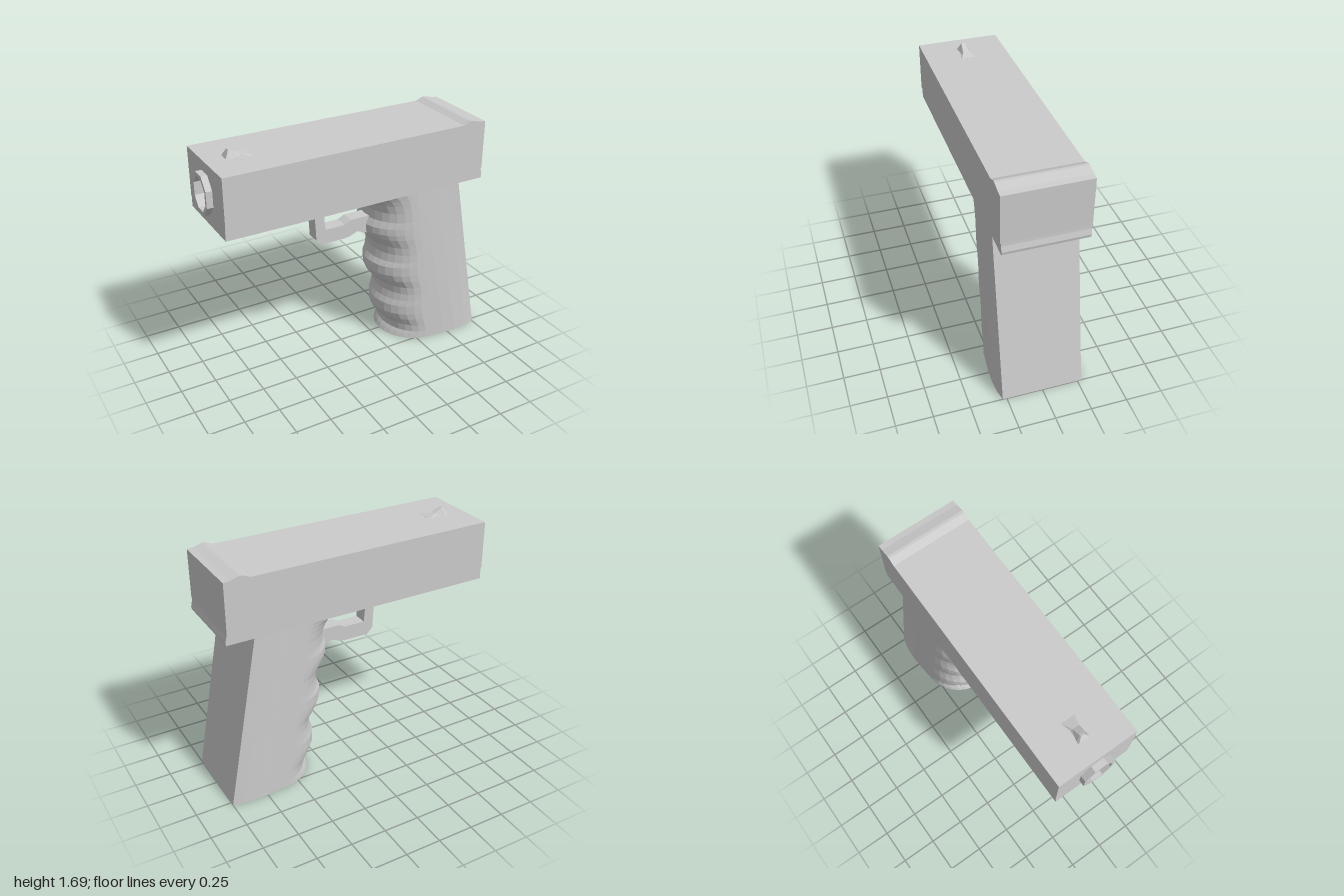
import * as THREE from 'three';

const material = new THREE.MeshStandardMaterial({ color: 0xcccccc, flatShading: true, side: THREE.DoubleSide });
const smooth = new THREE.MeshStandardMaterial({ color: 0xcccccc });

function add(group, name, geometry, mat = material) {
  const mesh = new THREE.Mesh(geometry, mat);
  mesh.name = name;
  group.add(mesh);
}

const shapeOf = (pts) => new THREE.Shape(pts.map(([x, y]) => new THREE.Vector2(x, y)));

// Side profile (x, y) given a width across z
function slab(pts, width) {
  return new THREE.ExtrudeGeometry(shapeOf(pts), { depth: width, bevelEnabled: false }).translate(0, 0, -width / 2);
}

// Cross-section (z, y) with a hole, running along x
function alongX(pts, hole, x0, x1) {
  const shape = shapeOf(pts);
  shape.holes.push(new THREE.Path(hole.map(([x, y]) => new THREE.Vector2(x, y))));
  return new THREE.ExtrudeGeometry(shape, { depth: x1 - x0, bevelEnabled: false })
    .rotateY(Math.PI / 2).translate(x0, 0, 0);
}

// Skin over closed rows of [x, y, z] points, capped at both ends
function loft(rows) {
  const n = rows[0].length, pos = rows.flat(2), idx = [];
  for (let i = 0; i < rows.length - 1; i++) {
    for (let j = 0; j < n; j++) {
      const k = (j + 1) % n, a = i * n + j, b = i * n + k;
      idx.push(a, a + n, b, b, a + n, b + n);
    }
  }
  [0, rows.length - 1].forEach((r, end) => {
    const c = pos.length / 3;
    for (let a = 0; a < 3; a++) pos.push(rows[r].reduce((s, p) => s + p[a], 0) / n);
    for (let j = 0; j < n; j++) {
      const a = r * n + j, b = r * n + (j + 1) % n;
      idx.push(c, end ? b : a, end ? a : b);
    }
  });
  const g = new THREE.BufferGeometry();
  g.setAttribute('position', new THREE.Float32BufferAttribute(pos, 3));
  g.setIndex(idx);
  const flat = g.toNonIndexed();
  flat.computeVertexNormals();
  return flat;
}

function octagon(rz, ry) {
  return Array.from({ length: 8 }, (_, i) => {
    const a = (i + 0.5) * Math.PI / 4;
    return [Math.cos(a) * rz, 1.433 + Math.sin(a) * ry];
  });
}

// Grip section: flat back, gently bulged sides, elliptical nose
function gripRow([y, front]) {
  const t = y / 1.22;
  const back = 1 - 0.225 * t, start = 0.62 - 0.19 * t, bulge = 0.022 * (1 - t);
  const half = [[back, 0.278], [back - 0.08, 0.278 + bulge * 0.8], [back - 0.18, 0.279 + bulge],
    [back - 0.28, 0.279 + bulge * 0.8]];
  const w = 0.279 + bulge * 0.3, steps = 8;
  for (let i = 0; i < steps; i++) {
    const a = i / steps * Math.PI / 2;
    half.push([start - (start - front) * Math.sin(a), w * Math.cos(a)]);
  }
  return [...half.map(([x, z]) => [x, y, z]), [front, y, 0],
    ...half.reverse().map(([x, z]) => [x, y, -z])];
}

export function createModel() {
  const model = new THREE.Group();
  const split = -0.3, frontX = -0.957;

  // Front of the upper body, with the bore
  const bore = octagon(0.098, 0.117);
  add(model, 'upperBodyFront', alongX([
    [-0.281, 1.22], [0.281, 1.22], [0.281, 1.3], [0.287, 1.3],
    [0.287, 1.64], [-0.287, 1.64], [-0.287, 1.3], [-0.281, 1.3],
  ], bore, frontX, split));

  // Rear of the upper body, with the raised rear sight
  add(model, 'upperBodyRear', slab([
    [split, 1.3], [0.957, 1.3], [0.957, 1.64], [0.915, 1.645], [0.85, 1.662],
    [0.83, 1.662], [0.78, 1.64], [split, 1.64],
  ], 0.574));

  // Lower rail with a small lip at the back
  add(model, 'lowerRail', slab([
    [split, 1.22], [0.963, 1.22], [0.967, 1.24], [0.958, 1.28], [0.957, 1.3], [split, 1.3],
  ], 0.562));

  // Barrel end
  add(model, 'muzzle', alongX(octagon(0.122, 0.146), bore, -1, frontX));

  // Front sight
  add(model, 'frontSight', loft([
    [-0.825, 1.642, 0.045, 0.035], [-0.8, 1.69, 0.045, 0.014], [-0.785, 1.685, 0.04, 0.016],
    [-0.73, 1.658, 0.035, 0.02], [-0.66, 1.641, 0.06, 0.05],
  ].map(([x, h, w, top]) => [[x, 1.635, w], [x, h, top], [x, h, -top], [x, 1.635, -w]])));

  // Grip with finger grooves: [height, front edge]
  add(model, 'grip', loft([
    [0, 0.33], [0.03, 0.345], [0.055, 0.362], [0.11, 0.355], [0.17, 0.305], [0.22, 0.28],
    [0.29, 0.28], [0.335, 0.3], [0.39, 0.312], [0.45, 0.3], [0.51, 0.245], [0.56, 0.22],
    [0.63, 0.218], [0.67, 0.24], [0.73, 0.25], [0.79, 0.24], [0.86, 0.185], [0.9, 0.165],
    [0.95, 0.163], [1.0, 0.188], [1.07, 0.187], [1.13, 0.16], [1.17, 0.12], [1.2, 0.06], [1.222, -0.03],
  ].map(gripRow)));

  // Trigger guard
  add(model, 'triggerGuard', slab([
    [-0.235, 1.23], [-0.235, 1.18], [-0.22, 0.92], [-0.18, 0.88], [0, 0.88], [0.04, 0.885],
    [0.1, 0.91], [0.18, 0.88], [0.3, 0.88], [0.3, 1.01], [0.05, 1.01], [0, 0.985],
    [-0.15, 0.985], [-0.168, 1.18], [-0.168, 1.23],
  ], 0.1));

  // Trigger
  const path = new THREE.CatmullRomCurve3([
    [-0.025, 1.103], [0.02, 1.096], [0.07, 1.11], [0.115, 1.145], [0.145, 1.19], [0.16, 1.24],
  ].map(([x, y]) => new THREE.Vector3(x, y, 0)));
  add(model, 'trigger', new THREE.TubeGeometry(path, 16, 0.031, 12), smooth);
  add(model, 'triggerTip', new THREE.SphereGeometry(0.031, 12, 8).translate(-0.025, 1.103, 0), smooth);

  return model;
}
